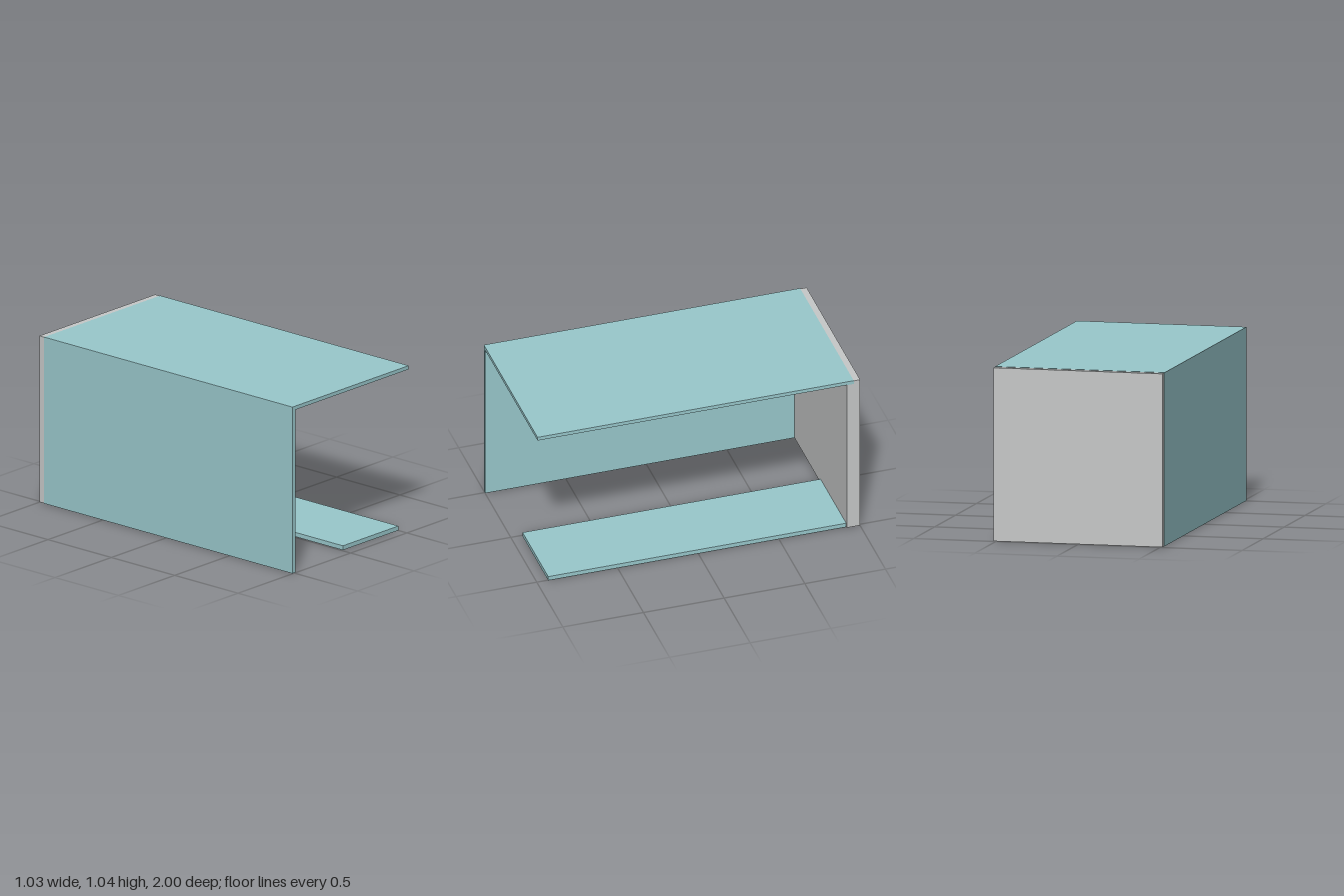
import * as THREE from 'three';

const material = (name, color) => {
  const m = new THREE.MeshStandardMaterial({ color });
  m.name = name;
  return m;
};

export function createModel() {
  const teal = material('pale teal', 0x99c8cc);
  const grey = material('light grey', 0xc6c8c8);
  const steel = material('blue grey', 0xa4b4b6);
  const model = new THREE.Group();

  const add = (name, geometry, mat) => {
    const mesh = new THREE.Mesh(geometry, mat);
    mesh.name = name;
    model.add(mesh);
    return mesh;
  };

  // Box given by its lower and upper corners
  const slab = (name, mat, [x0, y0, z0], [x1, y1, z1]) =>
    add(name, new THREE.BoxGeometry(x1 - x0, y1 - y0, z1 - z0), mat)
      .position.set((x0 + x1) / 2, (y0 + y1) / 2, (z0 + z1) / 2);

  // Thick back wall
  slab('backWall', grey, [-0.514, 0.002, -1], [0.514, 1.035, -0.917]);

  // Roof and side wall as one folded L section, lapping over the back wall
  const section = new THREE.Shape([
    [-0.517, 0.002], [-0.49, 0.002], [-0.49, 1.014],
    [0.515, 1.014], [0.515, 1.037], [-0.517, 1.037],
  ].map(([x, y]) => new THREE.Vector2(x, y)));
  add('roofAndSideWall', new THREE.ExtrudeGeometry(section, { depth: 1.96, bevelEnabled: false }), teal)
    .position.z = -0.96;

  // Narrow floor panel
  slab('floorPanel', teal, [0.01, 0, -0.945], [0.503, 0.027, 0.93]);

  // Rail under the roof
  const rail = add('rail', new THREE.CylinderGeometry(0.026, 0.026, 1.39, 32), steel);
  rail.rotation.x = Math.PI / 2;
  rail.position.set(0.308, 0.933, -0.152);

  return model;
}
